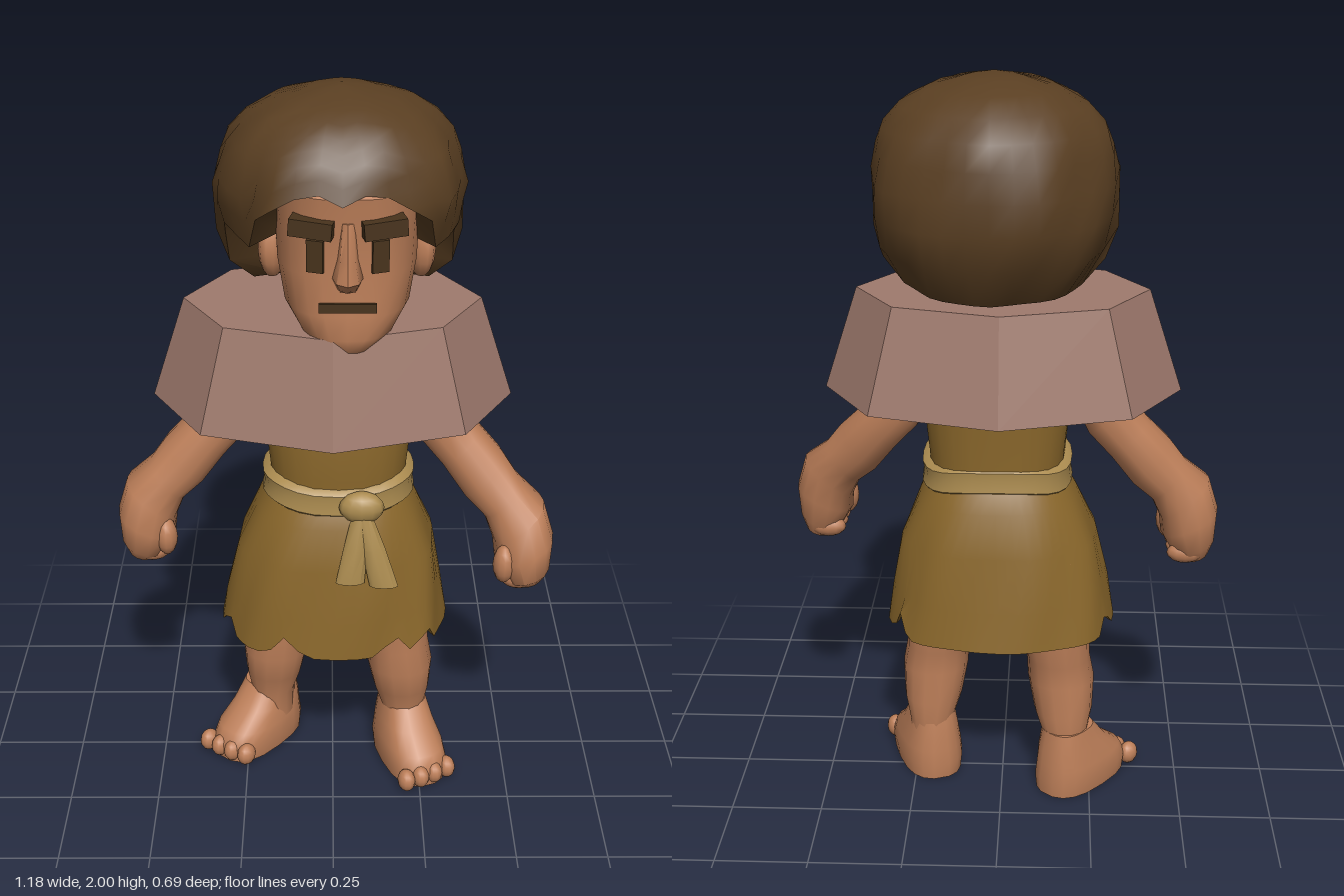
import * as THREE from 'three';
import { toCreasedNormals } from 'three/addons/utils/BufferGeometryUtils.js';

const mat = (name, color) => {
  const m = new THREE.MeshStandardMaterial({ color });
  m.name = name;
  return m;
};

// Skin over elliptical sections [x, y, z, rx, rz, tilt in degrees], listed from bottom to top.
function loft(sections, { n = 16, power = 2, crease = 0.8, warp = null } = {}) {
  const pos = [], idx = [];
  const v = new THREE.Vector3();
  const bend = (c) => Math.sign(c) * Math.pow(Math.abs(c), 2 / power);
  sections.forEach(([x, y, z, rx, rz, tilt = 0], i) => {
    const t = THREE.MathUtils.degToRad(tilt);
    for (let j = 0; j < n; j++) {
      const a = (j / n) * Math.PI * 2;
      const u = bend(Math.cos(a)) * rx;
      v.set(x + u * Math.cos(t), y + u * Math.sin(t), z + bend(Math.sin(a)) * rz);
      if (warp) warp(v, i, a);
      pos.push(v.x, v.y, v.z);
    }
  });
  const last = sections.length - 1;
  for (let i = 0; i < last; i++) {
    for (let j = 0; j < n; j++) {
      const a = i * n + j, b = i * n + (j + 1) % n;
      idx.push(a, a + n, b, b, a + n, b + n);
    }
  }
  const c0 = pos.length / 3;
  pos.push(...sections[0].slice(0, 3), ...sections[last].slice(0, 3));
  for (let j = 0; j < n; j++) {
    const k = (j + 1) % n;
    idx.push(c0, j, k, c0 + 1, last * n + k, last * n + j);
  }
  const g = new THREE.BufferGeometry();
  g.setAttribute('position', new THREE.Float32BufferAttribute(pos, 3));
  g.setIndex(idx);
  return toCreasedNormals(g, crease);
}

// Linear lookup in a list of [key, value] pairs with rising keys.
function lookup(table, k) {
  for (let i = 1; i < table.length; i++) {
    const [k0, v0] = table[i - 1], [k1, v1] = table[i];
    if (k <= k1) return v0 + (v1 - v0) * Math.max(0, (k - k0) / (k1 - k0));
  }
  return table[table.length - 1][1];
}

// Hair cap: columns run from the crown down to a hairline that varies around the head.
function hairGeometry() {
  const hairline = [[0, 1.785], [15, 1.82], [30, 1.77], [42, 1.73], [54, 1.63], [67, 1.66],
    [80, 1.68], [92, 1.55], [105, 1.47], [130, 1.46], [180, 1.45]];
  const radius = [[1.45, 0.22], [1.52, 0.285], [1.62, 0.322], [1.76, 0.318], [1.87, 0.285],
    [1.94, 0.22], [1.98, 0.13], [2, 0]];
  const n = 34, rows = 9, pos = [], idx = [];
  for (let i = 0; i <= rows + 2; i++) {
    for (let j = 0; j < n; j++) {
      const a = (j / n) * Math.PI * 2;
      const deg = Math.abs(THREE.MathUtils.radToDeg(a > Math.PI ? a - Math.PI * 2 : a));
      const low = lookup(hairline, deg);
      let y = 2 - (2 - low) * Math.pow(Math.min(i / rows, 1), 1.7);
      let r = lookup(radius, y) * (1 + 0.022 * Math.sin(5 * a + 9 * y) + 0.015 * Math.sin(9 * a - 14 * y));
      // tighter beside the face
      if (deg < 85) r *= 1 - 0.9 * Math.max(0, 1.76 - y);
      if (i === rows + 1) { r *= 0.65; y += 0.02; }
      if (i === rows + 2) { r = 0; y = 1.6; }
      pos.push(0.022 + Math.sin(a) * r, y, -0.006 + Math.cos(a) * r);
    }
  }
  for (let i = 0; i < rows + 2; i++) {
    for (let j = 0; j < n; j++) {
      const a = i * n + j, b = i * n + (j + 1) % n;
      idx.push(a, a + n, b, b, a + n, b + n);
    }
  }
  const g = new THREE.BufferGeometry();
  g.setAttribute('position', new THREE.Float32BufferAttribute(pos, 3));
  g.setIndex(idx);
  return toCreasedNormals(g, 0.9);
}

export function createModel() {
  const model = new THREE.Group();
  model.name = 'caveman';
  const skin = mat('skin', 0xbd7f59);
  const hair = mat('hair', 0x5a3f22);
  const dark = mat('dark brown', 0x48331c);
  const cloth = mat('tunic cloth', 0x8a672b);
  const rope = mat('belt cloth', 0xac8c50);
  const mauve = mat('collar mauve', 0x9f7a6d);

  const add = (name, geo, material, parent = model) => {
    const m = new THREE.Mesh(geo, material);
    m.name = name;
    parent.add(m);
    return m;
  };
  const ball = (name, material, p, s, parent = model) => {
    const m = add(name, new THREE.SphereGeometry(1, 12, 8), material, parent);
    m.position.set(...p);
    m.scale.set(...s);
    return m;
  };
  const plate = (name, p, s, ry = 0, rz = 0) => {
    const m = add(name, new THREE.BoxGeometry(...s), dark);
    m.position.set(...p);
    m.rotation.set(0, ry, rz);
  };

  // Collar: eight-sided tapering block
  const collar = toCreasedNormals(new THREE.CylinderGeometry(0.385, 0.475, 0.275, 8), 0.2);
  collar.scale(1, 1, 0.343 / 0.475);
  add('collar', collar, mauve).position.y = 1.3025;

  // Tunic top and skirt with a notched hem
  add('tunicTop', loft([
    [0.015, 0.93, 0.02, 0.18, 0.17], [0.015, 1.0, 0.02, 0.185, 0.172],
    [0.015, 1.17, 0.02, 0.202, 0.18], [0.015, 1.3, 0, 0.2, 0.17],
  ], { n: 24, power: 2.6 }), cloth);
  const notches = [40, 62, 112, 160, 200, 330];
  add('skirt', loft([
    [0.005, 0.68, 0.015, 0.25, 0.2], [0.005, 0.5, 0.015, 0.295, 0.235],
    [0.005, 0.49, 0.015, 0.312, 0.25], [0.005, 0.6, 0.018, 0.296, 0.238],
    [0.01, 0.75, 0.02, 0.268, 0.222], [0.012, 0.87, 0.02, 0.215, 0.2], [0.015, 0.92, 0.02, 0.188, 0.175],
  ], {
    n: 48, power: 2.4, crease: 0.7,
    warp: (v, i, a) => {
      const deg = THREE.MathUtils.radToDeg(a);
      if (i === 1 || i === 2) {
        for (const k of notches) v.y += 0.06 * Math.max(0, 1 - Math.abs(deg - k) / 10);
      }
      if (i >= 2 && i <= 4) {
        const f = 1 + 0.018 * Math.sin(8 * a + i);
        v.x *= f;
        v.z *= f;
      }
    },
  }), cloth);

  // Belt with knot and two hanging ends
  const belt = new THREE.Group();
  belt.name = 'belt';
  model.add(belt);
  add('beltBand', loft([
    [0.015, 0.9, 0.025, 0.19, 0.168], [0.015, 0.915, 0.025, 0.205, 0.182], [0.015, 0.945, 0.025, 0.2, 0.178],
    [0.015, 0.97, 0.025, 0.204, 0.18], [0.015, 0.985, 0.025, 0.185, 0.165],
  ], { n: 28, power: 2.6, warp: (v, i, a) => { v.y += 0.008 * Math.sin(3 * a); } }), rope, belt);
  ball('knot', rope, [0.075, 0.935, 0.21], [0.06, 0.045, 0.035], belt);
  for (const [x, y] of [[0.045, 0.73], [0.135, 0.72]]) {
    add('beltEnd', loft([
      [x, y, 0.255, 0.038, 0.014], [(x + 0.075) / 2, 0.83, 0.24, 0.032, 0.022], [0.075, 0.93, 0.215, 0.022, 0.02],
    ], { n: 8 }), rope, belt);
  }

  // Arms with closed fists; the right one hangs further back
  for (const side of [1, -1]) {
    const arm = new THREE.Group();
    arm.name = side > 0 ? 'leftArm' : 'rightArm';
    model.add(arm);
    const zOf = (z) => (side > 0 ? z : z * 0.25 - 0.03);
    const place = ([x, y, z, rx, rz, t]) => [side * x, y, zOf(z), rx, rz, side * t];
    add('armAndFist', loft([
      [0.535, 0.685, 0.15, 0.035, 0.055, 20], [0.525, 0.72, 0.16, 0.062, 0.088, 20],
      [0.512, 0.79, 0.155, 0.085, 0.1, 25], [0.495, 0.86, 0.135, 0.086, 0.092, 40],
      [0.45, 0.915, 0.1, 0.07, 0.08, 50], [0.4, 0.97, 0.07, 0.078, 0.088, 50],
      [0.34, 1.04, 0.04, 0.072, 0.08, 45], [0.28, 1.11, 0.02, 0.074, 0.082, 45],
      [0.25, 1.17, 0.02, 0.072, 0.082, 40], [0.2, 1.3, 0, 0.08, 0.09, 20],
    ].map(place), { n: 14, power: 2.3 }), skin, arm);
    ball('thumb', skin, [side * 0.455, 0.765, zOf(0.155) + 0.06], [0.03, 0.055, 0.035], arm);
    for (let k = 0; k < 3; k++) {
      ball('finger', skin, [side * 0.5, 0.712, zOf(0.155) - 0.055 + k * 0.05], [0.05, 0.03, 0.027], arm);
    }
  }

  // Legs and splayed feet; the right one stands further back
  for (const side of [1, -1]) {
    const leg = new THREE.Group();
    leg.name = side > 0 ? 'leftLeg' : 'rightLeg';
    model.add(leg);
    const dx = side > 0 ? 0 : 0.027, dz = side > 0 ? 0 : -0.075;
    add('shinAndThigh', loft([
      [0.205, 0.09, 0, 0.062, 0.075], [0.205, 0.17, 0.002, 0.064, 0.077], [0.2, 0.24, 0.008, 0.082, 0.092],
      [0.193, 0.33, 0.028, 0.093, 0.099], [0.185, 0.4, 0.02, 0.088, 0.1],
      [0.175, 0.5, 0.02, 0.096, 0.118], [0.15, 0.72, 0.02, 0.1, 0.12],
    ].map(([x, y, z, rx, rz]) => [side * x + dx, y, z + dz, rx, rz]), { n: 14, power: 2.2 }), skin, leg);
    const foot = new THREE.Group();
    foot.name = 'foot';
    foot.position.set(side > 0 ? 0.225 : -0.225, 0, side > 0 ? 0.06 : -0.04);
    foot.rotation.y = THREE.MathUtils.degToRad(side > 0 ? 20 : -40);
    leg.add(foot);
    add('sole', loft([
      [0, 0, 0, 0.085, 0.15], [0, 0.045, 0, 0.09, 0.153], [0, 0.085, -0.01, 0.085, 0.138],
      [0, 0.13, -0.04, 0.074, 0.105], [0, 0.19, -0.06, 0.062, 0.074],
    ], { n: 18, power: 2.6 }), skin, foot);
    for (let k = 0; k < 4; k++) {
      ball('toe', skin, [-0.066 + k * 0.044, 0.033, 0.142 - 0.006 * k * k / 3], [0.025, 0.033, 0.03], foot);
    }
  }

  // Head, nose and ears
  const cx = 0.035;
  add('head', loft([
    [0.025, 1.28, 0, 0.1, 0.1], [cx, 1.405, 0.16, 0.07, 0.115], [cx, 1.44, 0.115, 0.12, 0.168],
    [cx, 1.5, 0.08, 0.158, 0.2], [cx, 1.6, 0.05, 0.176, 0.225], [cx, 1.7, 0.04, 0.18, 0.24],
    [cx, 1.8, 0.03, 0.19, 0.262], [cx, 1.88, 0.01, 0.12, 0.18],
  ], { n: 24, power: 2.6 }), skin);
  add('nose', loft([
    [cx, 1.57, 0.265, 0.025, 0.03], [cx, 1.6, 0.268, 0.038, 0.064],
    [cx, 1.65, 0.268, 0.026, 0.048], [cx, 1.74, 0.27, 0.018, 0.02],
  ], { n: 8 }), skin);
  for (const s of [1, -1]) {
    ball('ear', skin, [cx + s * 0.185, 1.6, 0.055], [0.035, 0.078, 0.055]).rotation.y = s * 0.3;
    plate('eyebrow', [cx + s * 0.085, 1.73, 0.276], [0.105, 0.042, 0.05], s * 0.2, s * 0.08);
    plate('eye', [cx + s * 0.078, 1.655, 0.271], [0.042, 0.08, 0.009], s * 0.33);
  }
  plate('mouth', [cx, 1.528, 0.284], [0.14, 0.024, 0.009]);

  add('hair', hairGeometry(), hair);
  return model;
}
